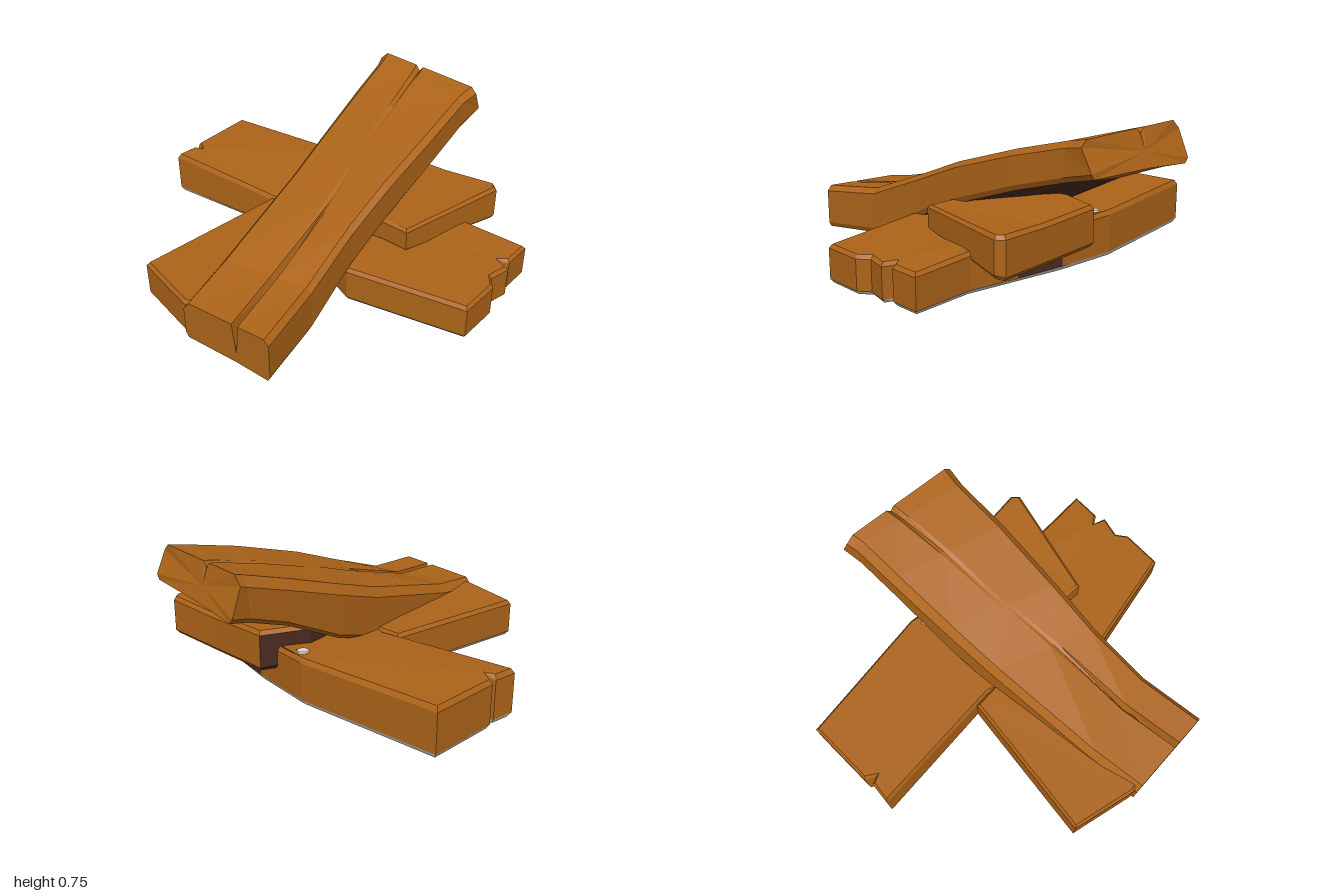
import * as THREE from 'three';

const flat = (name, color) => {
  const m = new THREE.MeshStandardMaterial({ color, flatShading: true });
  m.name = name;
  return m;
};
const lerp = THREE.MathUtils.lerp;
const ramp = THREE.MathUtils.smoothstep;

// Sort triangles into material groups: pick(normal, centre) returns 0, 1 or 2
function paint(geometry, pick) {
  const src = geometry.index ? geometry.toNonIndexed() : geometry;
  const p = src.attributes.position;
  const buckets = [[], [], []];
  const tri = new THREE.Triangle(), n = new THREE.Vector3(), c = new THREE.Vector3();
  for (let i = 0; i < p.count; i += 3) {
    tri.setFromAttributeAndIndices(p, i, i + 1, i + 2);
    if (tri.getArea() < 1e-9) continue;
    tri.getNormal(n);
    tri.getMidpoint(c);
    for (const v of [tri.a, tri.b, tri.c]) buckets[pick(n, c)].push(v.x, v.y, v.z);
  }
  const out = new THREE.BufferGeometry();
  out.setAttribute('position', new THREE.Float32BufferAttribute(buckets.flat(), 3));
  let start = 0;
  buckets.forEach((b, i) => {
    if (b.length) out.addGroup(start, b.length / 3, i);
    start += b.length / 3;
  });
  out.computeVertexNormals();
  return out;
}

// Bevelled plank from a plan outline of [x, z], with top and bottom heights by rule
function slab(outline, bottom, top) {
  const shape = new THREE.Shape(outline.map(([x, z]) => new THREE.Vector2(x, -z)));
  const g = new THREE.ExtrudeGeometry(shape, {
    depth: 1, bevelEnabled: true, bevelSegments: 1,
    bevelThickness: 0.12, bevelSize: 0.014, bevelOffset: -0.014,
  });
  g.rotateX(-Math.PI / 2);
  const p = g.attributes.position;
  for (let i = 0; i < p.count; i++) {
    const x = p.getX(i), z = p.getZ(i), h = (p.getY(i) + 0.12) / 1.24;
    p.setY(i, lerp(bottom(x, z), top(x, z), h) + 0.006 * h * Math.sin(9 * x + 7 * z));
  }
  return g;
}

// Leaning beam: sections of [left x, z, right x, z, top L, R, bottom L, R, groove at, groove depth, lean]
function beam(sections) {
  const rings = sections.map(([lx, lz, rx, rz, tl, tr, bl, br, g, d, lean]) => {
    const top = (t, drop) => [t, lerp(tl, tr, t) - drop, -lean];
    const bot = (t, rise) => [t, lerp(bl, br, t) + rise, 0];
    return [
      bot(0, 0.025), top(0, 0.045), top(0.07, 0), top(g - 0.035, 0), top(g, d),
      top(g + 0.035, 0), top(0.95, 0), top(1, 0.03), bot(1, 0.025),
      bot(0.975, 0), bot(g, 0.008), bot(0.03, 0),
    ].map(([t, y, s]) => new THREE.Vector3(lerp(lx, rx, t) + 0.64 * s, y, lerp(lz, rz, t) - 0.77 * s));
  });
  const pos = [];
  const add = (...vs) => vs.forEach(v => pos.push(v.x, v.y, v.z));
  const n = rings[0].length, last = rings.length - 1;
  for (let j = 0; j < n; j++) {
    const k = (j + 1) % n;
    for (let i = 0; i < last; i++) {
      const a = rings[i][j], b = rings[i][k], c = rings[i + 1][k], d = rings[i + 1][j];
      add(a, b, c, a, c, d);
    }
    // End caps fan out from the middle, below the groove
    [0, last].forEach(e => {
      const r = rings[e];
      const mid = r[10].clone().lerp(r[4], 0.5);
      if (e) add(mid, r[j], r[k]);
      else add(mid, r[k], r[j]);
    });
  }
  const g = new THREE.BufferGeometry();
  g.setAttribute('position', new THREE.Float32BufferAttribute(pos, 3));
  return g;
}

export function createModel() {
  const group = new THREE.Group();
  group.name = 'plankPile';
  const materials = [flat('wood', 0xad6419), flat('ashGrey', 0xdfd6c8), flat('charredWood', 0x4a2b22)];
  const part = (name, geometry, pick) => {
    const mesh = new THREE.Mesh(paint(geometry, pick), materials);
    mesh.name = name;
    group.add(mesh);
  };
  const ashBelow = n => (n.y < -0.4 ? 1 : 0);

  // Long plank on the ground, chipped at both ends and burnt on one side
  part('groundPlank', slab([
    [-0.46, -1], [0.15, -0.54], [0.38, -0.28], [0.54, -0.06], [0.7, 0.16], [0.945, 0.38],
    [0.83, 0.49], [0.78, 0.48], [0.81, 0.54], [0.71, 0.6], [0.7, 0.67], [0.54, 0.82],
    [0.02, 0.48], [-0.24, -0.11], [-0.835, -0.61], [-0.74, -0.69], [-0.7, -0.67], [-0.72, -0.73],
  ], () => 0.005, (x, z) => 0.2 + 0.05 * ramp(-z, 0, 0.5)),
  (n, c) => {
    if (n.y < -0.4) return 1;
    return n.y < 0.5 && c.x > 0.38 && c.x < 0.54 && c.z > -0.28 && c.z < -0.06 ? 2 : 0;
  });

  // Flat plank beside the low end of the beam
  part('sidePlank', slab([
    [-0.95, 0.34], [-0.31, -0.17], [0, 0.1], [-0.35, 0.66], [-0.55, 0.78], [-0.76, 0.64],
  ], () => 0.005, () => 0.21), ashBelow);

  // Broken plank lying on the ground plank, charred at its hidden end
  part('upperPlank', slab([
    [0.87, 0], [0.87, 0.05], [0.33, 0.375], [0.23, 0.27], [0.04, 0.05], [0, -0.12],
    [0.12, -0.32], [0.36, -0.43], [0.65, -0.18],
  ], (x, z) => 0.12 + 0.08 * ramp(z, -0.05, 0.25), () => 0.33),
  n => (n.z < -0.1 && n.x < 0.1 && n.y < 0.5 ? 2 : 0));

  // Fleck of ash on the ground plank under the beam
  const fleck = new THREE.CylinderGeometry(0.03, 0.035, 0.009, 5);
  fleck.translate(0.15, 0.247, -0.45);
  part('ashFleck', fleck, () => 1);

  // Split beam resting across the pile, charred underneath at the middle
  part('leaningBeam', beam([
    [-0.76, 0.66, -0.38, 1.0, 0.22, 0.245, 0.005, 0.005, 0.62, 0.17, 0],
    [-0.59, 0.42, -0.17, 0.71, 0.265, 0.28, 0.005, 0.03, 0.61, 0.05, 0],
    [-0.2, -0.09, 0.05, 0.45, 0.43, 0.41, 0.15, 0.19, 0.6, 0.008, 0],
    [-0.02, -0.32, 0.25, 0.25, 0.53, 0.52, 0.25, 0.31, 0.53, 0, 0],
    [0.2, -0.59, 0.53, -0.03, 0.655, 0.64, 0.43, 0.445, 0.48, 0.006, 0],
    [0.35, -0.77, 0.73, -0.25, 0.735, 0.715, 0.52, 0.53, 0.44, 0.02, 0],
    [0.41, -0.86, 0.85, -0.36, 0.755, 0.735, 0.55, 0.57, 0.42, 0.03, 0.055],
  ]), (n, c) => {
    if (n.y > -0.65) return 0;
    if (c.y < 0.14) return 1;
    return c.y < 0.445 ? 2 : 0;
  });

  return group;
}
